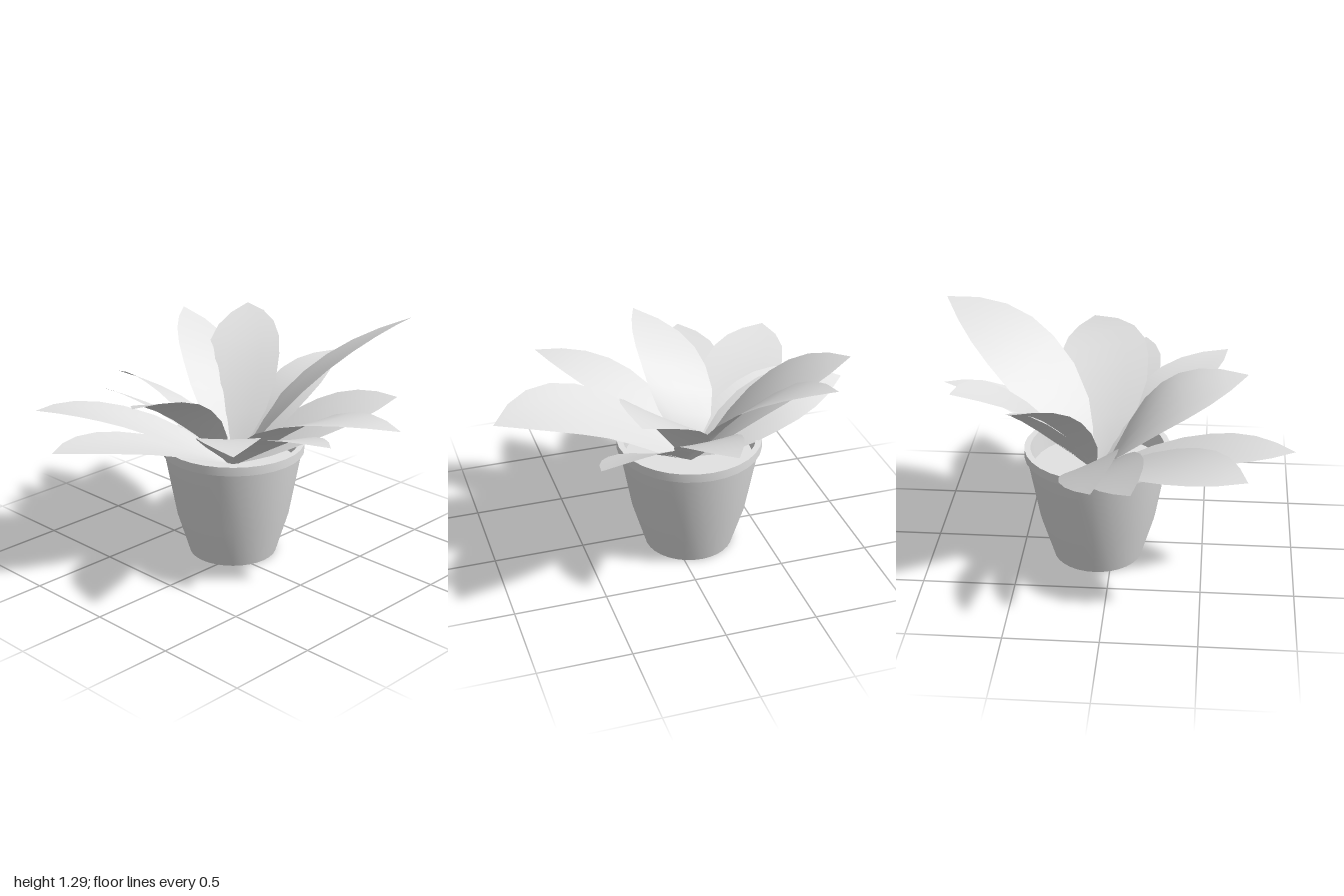
import * as THREE from 'three';
import { toCreasedNormals } from 'three/addons/utils/BufferGeometryUtils.js';

const CX = 0.083, CZ = -0.097; // pot axis

// Half-width along the leaf, as [position, share of the widest point]
const OUTLINE = [[0, 0.08], [0.1, 0.46], [0.2, 0.76], [0.35, 0.96], [0.5, 1],
  [0.63, 0.95], [0.76, 0.77], [0.88, 0.46], [1, 0]];

// Each leaf: middle point, tip, half-width, sideways tilt
const LEAVES = [
  { mid: [-0.33, 0.785, -0.54], tip: [-0.72, 0.855, -0.82], w: 0.215, roll: -0.08 },
  { mid: [-0.48, 0.74, -0.28], tip: [-0.97, 0.80, -0.37], w: 0.2, roll: 0 },
  { mid: [-0.27, 0.91, -0.12], tip: [-0.72, 1.07, -0.02], w: 0.195, roll: -0.25 },
  { mid: [-0.27, 0.85, 0.22], tip: [-0.61, 0.95, 0.59], w: 0.175, roll: 0 },
  { mid: [-0.05, 0.82, 0.37], tip: [-0.13, 0.92, 0.80], w: 0.165, roll: 0.15 },
  { mid: [0.09, 0.905, 0.45], tip: [0.19, 0.97, 0.99], w: 0.25, roll: 0.14 },
  { mid: [0.4, 0.79, 0.25], tip: [0.70, 0.92, 0.56], w: 0.16, roll: -0.35 },
  { mid: [0.475, 1.025, 0.16], tip: [0.97, 1.29, 0.43], w: 0.215, roll: 0.34 },
  { mid: [0.5, 0.865, -0.06], tip: [0.91, 1.0, -0.08], w: 0.155, roll: -0.08 },
  { mid: [0.43, 1.0, -0.36], tip: [0.77, 1.2, -0.65], w: 0.21, roll: 0.1 },
  { mid: [0.29, 0.965, -0.46], tip: [0.44, 1.2, -0.86], w: 0.18, roll: -0.22 },
  { mid: [0.09, 0.78, -0.55], tip: [0.04, 0.86, -1.0], w: 0.155, roll: -0.55 },
  { mid: [-0.03, 0.73, -0.5], tip: [-0.15, 0.82, -0.93], w: 0.145, roll: -0.5 },
];

// Curved, slightly cupped blade swept from the pot centre through mid to tip
function leafGeometry({ mid, tip, w, roll }) {
  const m = new THREE.Vector3(...mid), t = new THREE.Vector3(...tip);
  const out = new THREE.Vector3(t.x - CX, 0, t.z - CZ).normalize();
  const base = new THREE.Vector3(CX, 0.53, CZ).addScaledVector(out, 0.04);
  // control point that makes the curve pass through mid halfway
  const control = m.clone().multiplyScalar(2).addScaledVector(base, -0.5).addScaledVector(t, -0.5);
  const spine = new THREE.QuadraticBezierCurve3(base, control, t);
  const across = 4, pos = [], index = [];
  const end = (OUTLINE.length - 1) * (across + 1); // the single tip vertex
  OUTLINE.forEach(([s, share], i) => {
    const p = spine.getPoint(s), d = spine.getTangent(s).setY(0).normalize();
    const columns = share ? across : 0;
    for (let j = 0; j <= columns; j++) {
      const u = j / across * 2 - 1, side = u * w * share;
      const cup = 0.1 * w * share * (1 - s) * (u * u - 0.3);
      pos.push(p.x - d.z * side, p.y + roll * side + cup, p.z + d.x * side);
    }
    for (let j = 1; i && j <= across; j++) {
      const a = (i - 1) * (across + 1) + j, b = a + across + 1;
      if (share) index.push(a - 1, a, b - 1, a, b, b - 1);
      else index.push(a - 1, a, end);
    }
  });
  const g = new THREE.BufferGeometry();
  g.setAttribute('position', new THREE.Float32BufferAttribute(pos, 3));
  g.setIndex(index);
  g.computeVertexNormals();
  return g;
}

export function createModel() {
  const group = new THREE.Group();
  const grey = new THREE.MeshStandardMaterial({ color: 0xe2e2e2, side: THREE.DoubleSide });
  grey.name = 'plain light grey';

  // Pot: underside, tapering wall, rim band and inner wall
  const profile = [[0.0005, 0], [0.245, 0], [0.318, 0.24], [0.385, 0.605], [0.398, 0.605],
    [0.398, 0.655], [0.365, 0.655], [0.352, 0.5]].map(([r, y]) => new THREE.Vector2(r, y));
  const pot = new THREE.Mesh(toCreasedNormals(new THREE.LatheGeometry(profile, 32), 0.6), grey);
  pot.name = 'pot';
  pot.position.set(CX, 0, CZ);
  group.add(pot);

  // Soil surface
  const soil = new THREE.Mesh(new THREE.CircleGeometry(0.356, 32).rotateX(-Math.PI / 2), grey);
  soil.name = 'soil';
  soil.position.set(CX, 0.53, CZ);
  group.add(soil);

  // Leaves
  const leaves = new THREE.Group();
  leaves.name = 'leaves';
  LEAVES.forEach((leaf, i) => {
    const mesh = new THREE.Mesh(leafGeometry(leaf), grey);
    mesh.name = `leaf${i + 1}`;
    leaves.add(mesh);
  });
  group.add(leaves);
  return group;
}
